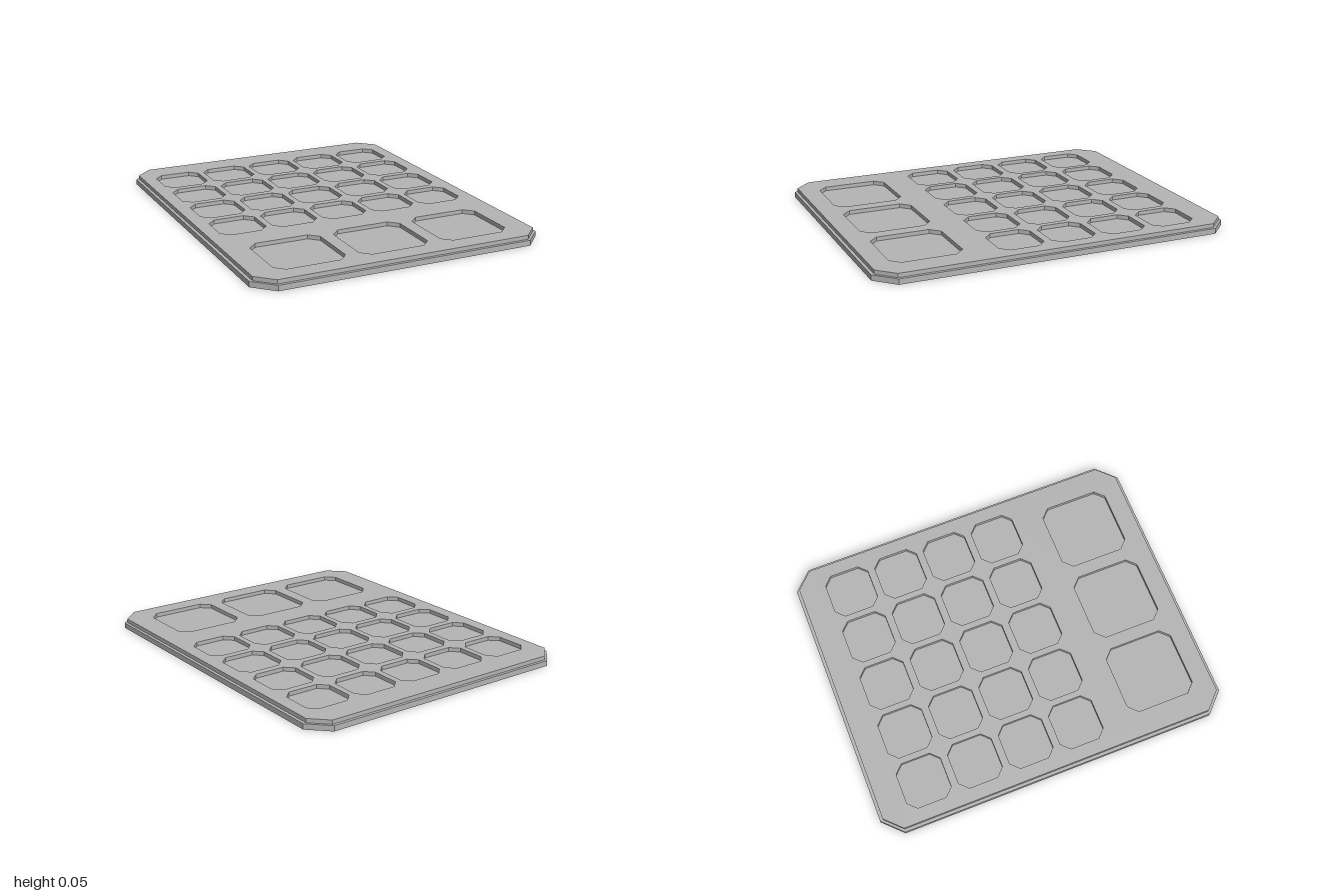
import * as THREE from 'three';

// Rectangle with cut corners, centred on (cx, cz)
function cutCorners(path, cx, cz, w, d, c) {
  const x = w / 2, z = d / 2;
  const pts = [
    [-x + c, -z], [x - c, -z], [x, -z + c], [x, z - c],
    [x - c, z], [-x + c, z], [-x, z - c], [-x, -z + c],
  ].map(([px, pz]) => new THREE.Vector2(cx + px, cz + pz));
  return path.setFromPoints(pts);
}

// Flat slab lying on the ground plane, from height y0 to y1
function slab(name, shape, y0, y1, material) {
  const geometry = new THREE.ExtrudeGeometry(shape, { depth: y1 - y0, bevelEnabled: false });
  geometry.rotateX(-Math.PI / 2);
  geometry.translate(0, y0, 0);
  const mesh = new THREE.Mesh(geometry, material);
  mesh.name = name;
  return mesh;
}

export function createModel() {
  const group = new THREE.Group();
  group.name = 'tray';
  const grey = new THREE.MeshStandardMaterial({ color: 0xb4b4b4 });
  grey.name = 'grey';

  // Solid base plate, which is also the floor of the pockets
  const base = cutCorners(new THREE.Shape(), 0, 0, 1.635, 2, 0.105);
  group.add(slab('basePlate', base, 0, 0.03, grey));

  // Slightly smaller top plate; shape y is -z
  const top = cutCorners(new THREE.Shape(), 0, 0, 1.6, 1.966, 0.09);

  // Five by four small pockets
  for (let row = 0; row < 4; row++) {
    for (let col = -2; col <= 2; col++) {
      const z = -0.707 + row * 0.297;
      top.holes.push(cutCorners(new THREE.Path(), col * 0.297, -z, 0.262, 0.255, 0.046));
    }
  }

  // Three large pockets at the front
  for (let col = -1; col <= 1; col++) {
    top.holes.push(cutCorners(new THREE.Path(), col * 0.469, -0.68, 0.395, 0.393, 0.05));
  }
  group.add(slab('pocketPlate', top, 0.03, 0.052, grey));

  return group;
}
